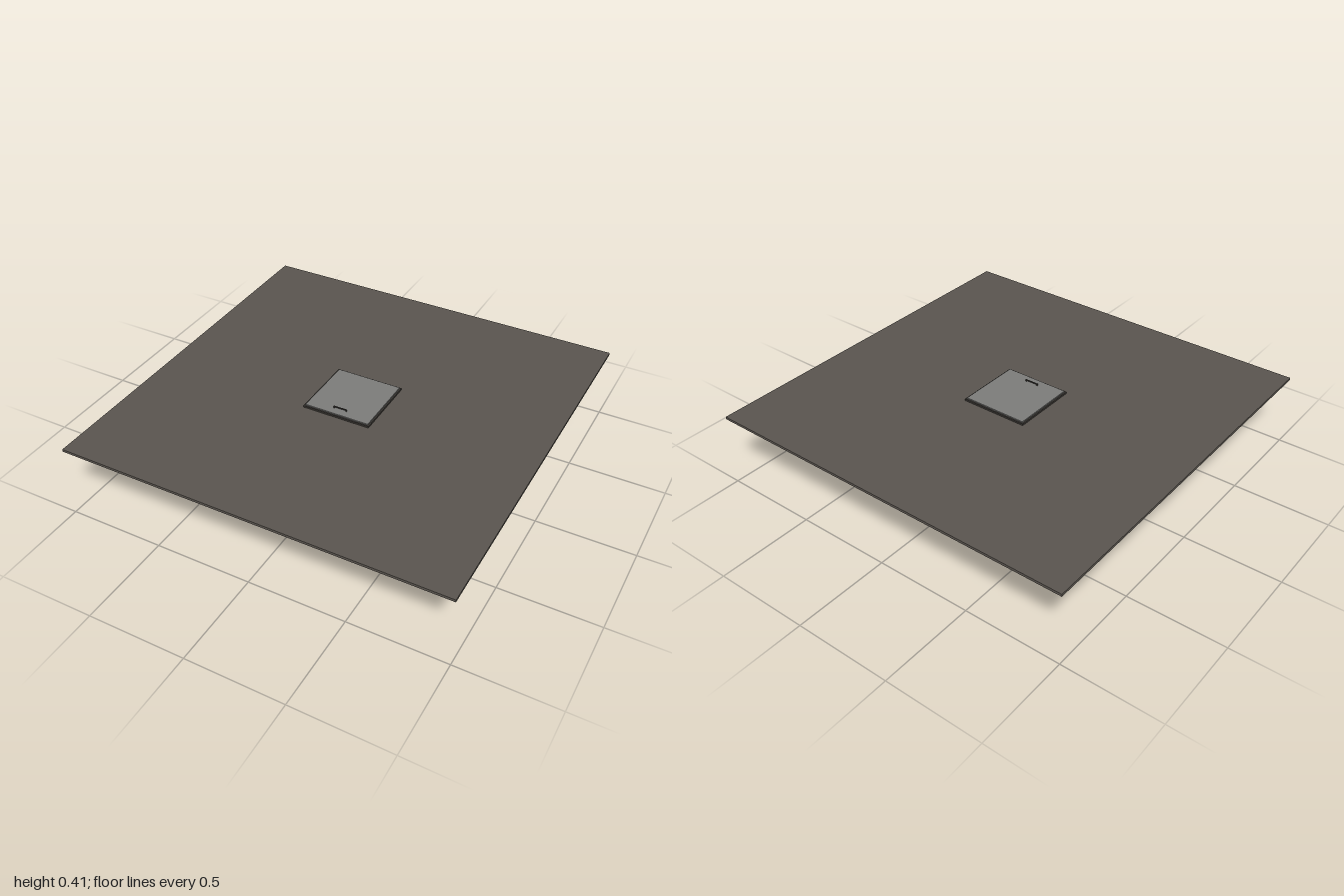
import * as THREE from 'three';

const mat = (name, color) => new THREE.MeshStandardMaterial({ name, color });

export function createModel() {
  const group = new THREE.Group();
  const stone = mat('floor stone', 0x5a554f);
  const earth = mat('shaft brown', 0x7a6045);
  const steel = mat('lid grey', 0x7c7c7a);
  const dark = mat('rim dark', 0x3a3733);
  const black = mat('base black', 0x1c1b1a);

  // Box spanning the given lower and upper corners
  function box(name, material, [x0, y0, z0], [x1, y1, z1]) {
    const mesh = new THREE.Mesh(new THREE.BoxGeometry(x1 - x0, y1 - y0, z1 - z0), material);
    mesh.position.set((x0 + x1) / 2, (y0 + y1) / 2, (z0 + z1) / 2);
    mesh.name = name;
    group.add(mesh);
  }

  // Square ring of four slabs around an opening
  function ring(name, material, outer, inner, y0, y1) {
    for (const s of [-1, 1]) {
      const [n, f] = s < 0 ? [-outer, -inner] : [inner, outer];
      box(name, material, [-outer, y0, n], [outer, y1, f]);
      box(name, material, [n, y0, -inner], [f, y1, inner]);
    }
  }

  // Floor with a square opening
  ring('floorSlab', stone, 1, 0.155, 0.376, 0.389);

  // Hollow shaft below the floor, with a dark bottom
  ring('shaftWall', earth, 0.155, 0.143, 0.003, 0.388);
  box('shaftBottom', black, [-0.155, 0, -0.155], [0.155, 0.003, 0.155]);

  // Raised rim and the hatch lid on it
  ring('hatchRim', dark, 0.18, 0.14, 0.386, 0.398);
  box('hatchLid', steel, [-0.172, 0.396, -0.172], [0.172, 0.404, 0.172]);

  // Pull handle near the front edge
  box('handleBar', dark, [-0.036, 0.41, 0.127], [0.036, 0.414, 0.133]);
  for (const s of [-1, 1]) {
    box('handlePost', dark, [s * 0.033 - 0.003, 0.403, 0.127], [s * 0.033 + 0.003, 0.41, 0.133]);
  }
  return group;
}
